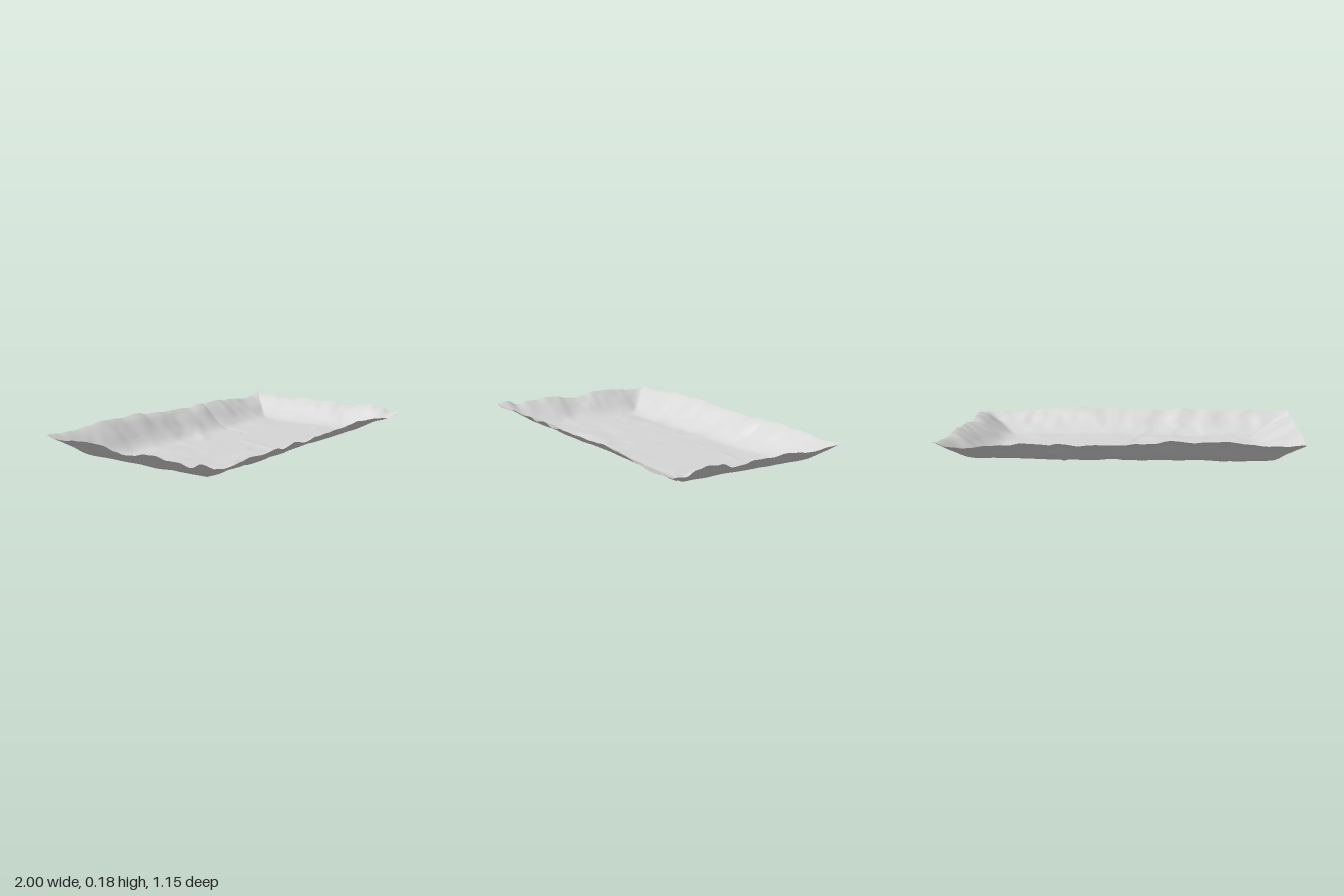
import * as THREE from 'three';

const HX = 1, HZ = 0.575, WALL = 0.25;
const { lerp, clamp, smoothstep } = THREE.MathUtils;

// Rim heights, evenly spaced along each edge (x from -1 to 1, z from -0.575 to 0.575)
const RIM = {
  front: [0.16, 0.145, 0.152, 0.158, 0.15, 0.155, 0.145, 0.158, 0.14, 0.148, 0.15, 0.151, 0.147, 0.154, 0.156, 0.145, 0.138, 0.128, 0.11, 0.115, 0.12],
  back: [0.172, 0.165, 0.16, 0.172, 0.18, 0.178, 0.174, 0.18, 0.165, 0.158, 0.152, 0.15, 0.143, 0.15, 0.145, 0.148, 0.138, 0.132, 0.118, 0.12, 0.145],
  left: [0.17, 0.158, 0.156, 0.168, 0.174, 0.175, 0.168, 0.15, 0.145, 0.148, 0.165, 0.168, 0.155, 0.155, 0.14, 0.17, 0.16],
  right: [0.145, 0.134, 0.13, 0.121, 0.124, 0.132, 0.14, 0.132, 0.13, 0.135, 0.122, 0.12, 0.142, 0.148, 0.138, 0.112, 0.12],
};

// Smooth sample of a height list, t from 0 to 1
function sample(list, t) {
  const p = clamp(t, 0, 1) * (list.length - 1);
  const i = Math.min(Math.floor(p), list.length - 2), f = p - i;
  return lerp(list[i], list[i + 1], f * f * (3 - 2 * f));
}

// Repeatable value noise from -1 to 1
function hash(i, j) {
  const s = Math.sin(i * 127.1 + j * 311.7) * 43758.5453;
  return (s - Math.floor(s)) * 2 - 1;
}
function noise(x, z) {
  const i = Math.floor(x), j = Math.floor(z);
  const u = smoothstep(x - i, 0, 1), v = smoothstep(z - j, 0, 1);
  return lerp(lerp(hash(i, j), hash(i + 1, j), u), lerp(hash(i, j + 1), hash(i + 1, j + 1), u), v);
}

// Creases [x1, z1, x2, z2, width, height] and round dents [x, z, radius, depth]
const CREASES = [
  [0.355, -0.575, 0.325, -0.4, 0.011, -0.005],
  [0.32, -0.37, 0.28, -0.18, 0.011, -0.005],
  [0.27, -0.165, 0.21, -0.15, 0.011, -0.004],
  [0.42, -0.19, 0.58, -0.16, 0.015, 0.003],
  [0.1, -0.4, -0.06, -0.25, 0.035, 0.005],
  [0.05, 0, -0.08, 0.38, 0.025, 0.003],
  [-0.42, 0.43, -0.3, 0.46, 0.015, -0.004],
];
const DENTS = [[-0.08, -0.33, 0.1, 0.004], [-0.36, 0.35, 0.11, 0.006], [-0.08, 0.19, 0.08, 0.004], [0.68, 0.22, 0.1, 0.004]];

function segmentDistance(x, z, [x1, z1, x2, z2]) {
  const dx = x2 - x1, dz = z2 - z1;
  const t = clamp(((x - x1) * dx + (z - z1) * dz) / (dx * dx + dz * dz), 0, 1);
  return Math.hypot(x - x1 - t * dx, z - z1 - t * dz);
}

function height(x, z) {
  const dx = HX - Math.abs(x), dz = HZ - Math.abs(z), d = Math.max(0, Math.min(dx, dz));

  // Rim height of the nearest edge, blended across the mitred corners
  const long = sample(z > 0 ? RIM.front : RIM.back, (x + HX) / (2 * HX));
  const short = sample(x > 0 ? RIM.right : RIM.left, (z + HZ) / (2 * HZ));
  const w = (dz * dz + 1e-9) / (dx * dx + dz * dz + 2e-9);
  const rim = lerp(long, short, w) + 0.003 * noise(x * 19 + 5, z * 19);

  // Gently tilted floor, rising into walls that round over towards the rim
  const floor = 0.021 - 0.015 * x + 0.012 * z;
  const round = lerp(0.55, x > 0 ? 0.65 : 0.35, w);
  const t = Math.min(1, d / WALL);
  const slope = lerp((1 - t) ** 1.75, 1 - smoothstep(t, 0, 1), round);
  let y = lerp(floor, rim, slope);

  // Ripples running up the walls, fading out at the rim
  const wall = Math.exp(-(((d - 0.11) / 0.07) ** 2));
  y += wall * 0.009 * lerp(noise(x * 12 + 3, z * 6), noise(x * 6 + 40, z * 12), w);

  // Soft crumpling, calmest in the middle of the floor
  const calm = smoothstep(Math.hypot((x - 0.25) / 0.75, (z - 0.02) / 0.42), 0.3, 1);
  const inner = smoothstep(d, 0, 0.06);
  y += calm * inner * (0.005 * noise(x * 7 + 7, z * 9 + 2) + 0.0015 * noise(x * 18, z * 20 + 9));

  for (const c of CREASES) y += c[5] * Math.exp(-((segmentDistance(x, z, c) / c[4]) ** 2));
  for (const [cx, cz, r, depth] of DENTS) {
    y -= depth * (1 - smoothstep(Math.hypot(x - cx, z - cz), r * 0.55, r));
  }
  return y;
}

export function createModel() {
  const group = new THREE.Group();
  group.name = 'tray';
  const paleGrey = new THREE.MeshStandardMaterial({ color: 0xd6d6d6, side: THREE.DoubleSide });
  paleGrey.name = 'paleGrey';

  // One thin sheet with turned-up edges
  const sheet = new THREE.PlaneGeometry(2 * HX, 2 * HZ, 160, 92).rotateX(-Math.PI / 2);
  const pos = sheet.attributes.position;
  for (let i = 0; i < pos.count; i++) pos.setY(i, height(pos.getX(i), pos.getZ(i)));
  sheet.computeBoundingBox();
  sheet.translate(0, -sheet.boundingBox.min.y, 0);
  sheet.computeVertexNormals();

  const mesh = new THREE.Mesh(sheet, paleGrey);
  mesh.name = 'crumpledSheet';
  group.add(mesh);
  return group;
}
